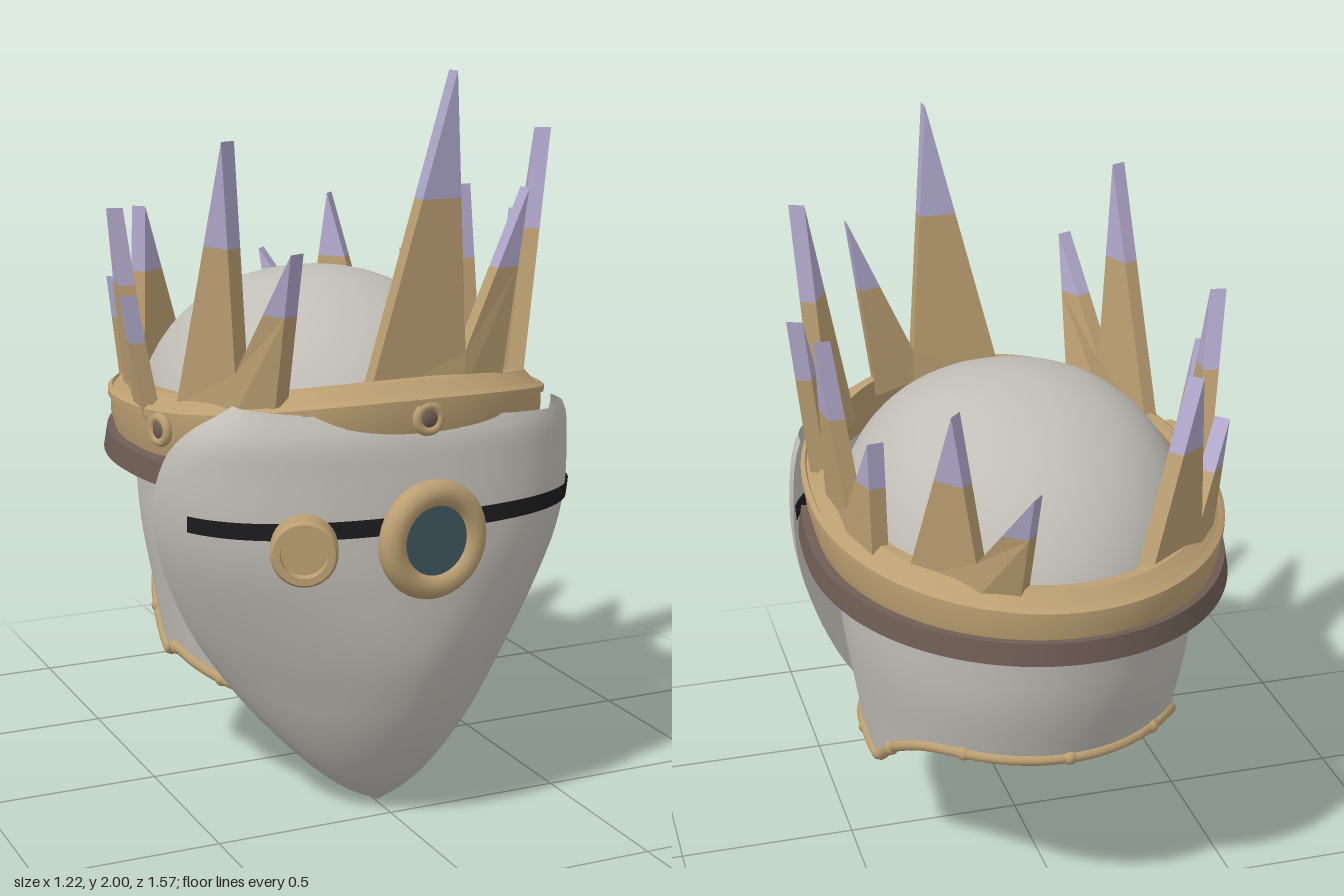
import * as THREE from 'three';
import { mergeVertices, toCreasedNormals } from 'three/addons/utils/BufferGeometryUtils.js';

const V = (x, y, z) => new THREE.Vector3(x, y, z);
const RAD = Math.PI / 180;
const spow = (v, e) => Math.sign(v) * Math.pow(Math.abs(v), e);

function makeMaterials() {
  const mat = (name, color, side = THREE.FrontSide) => {
    const m = new THREE.MeshStandardMaterial({ color, side });
    m.name = name;
    return m;
  };
  return {
    shell: mat('pale grey', 0xc1beb7, THREE.DoubleSide),
    gold: mat('dull gold', 0xbb9f72),
    brown: mat('dark brown', 0x6d5c53),
    tip: mat('lavender', 0xb0a9cb),
    black: mat('black', 0x1d1d1f, THREE.DoubleSide),
    lens: mat('dark teal', 0x425862),
  };
}

// Smooth lookup in a table whose rows start with a rising key
function look(table, key) {
  const n = table.length;
  let i = 0;
  while (i < n - 2 && key > table[i + 1][0]) i++;
  const a = table[i], b = table[i + 1], h = b[0] - a[0];
  const t = THREE.MathUtils.clamp((key - a[0]) / h, 0, 1);
  const slope = (k, c) => {
    const p = table[Math.max(k - 1, 0)], q = table[Math.min(k + 1, n - 1)];
    return (q[c] - p[c]) / (q[0] - p[0]);
  };
  return a.slice(1).map((v, c) => {
    const w = b[c + 1], t2 = t * t, t3 = t2 * t;
    return v * (2 * t3 - 3 * t2 + 1) + w * (3 * t2 - 2 * t3)
      + h * (slope(i, c + 1) * (t3 - 2 * t2 + t) + slope(i + 1, c + 1) * (t3 - t2));
  });
}

// Sheet of quads: i runs counter-clockwise seen from above, j runs downward
function grid(nu, nv, fn) {
  const pos = [], idx = [];
  for (let i = 0; i <= nu; i++) for (let j = 0; j <= nv; j++) pos.push(...fn(i, j).toArray());
  for (let i = 0; i < nu; i++) for (let j = 0; j < nv; j++) {
    const a = i * (nv + 1) + j, b = a + nv + 1;
    idx.push(a, a + 1, b, a + 1, b + 1, b);
  }
  const g = new THREE.BufferGeometry();
  g.setAttribute('position', new THREE.Float32BufferAttribute(pos, 3));
  g.setIndex(idx);
  const m = mergeVertices(g, 1e-5);
  m.computeVertexNormals();
  return m;
}

// Hood surface: y, half width, front depth, back depth
const HOOD = [[0.28, 0.42, 0.55, 0.48], [0.5, 0.455, 0.57, 0.55], [0.7, 0.485, 0.59, 0.61], [0.9, 0.495, 0.6, 0.635]];
function hoodPoint(a, y) {
  let [w, f, b] = look(HOOD, Math.min(y, 0.9));
  if (y > 0.9) {
    const round = (n) => Math.pow(Math.max(0, 1 - Math.pow((y - 0.9) / 0.52, n)), 1 / n);
    w *= round(2.2); f *= round(1.95); b *= round(1.95);
  }
  const c = Math.cos(a);
  return V(0.02 + w * Math.sin(a), y, -0.05 + (c > 0 ? f : b) * c);
}
// Height of the hood's lower edge by depth
const RIM = [[-0.65, 0.53], [-0.45, 0.515], [-0.3, 0.44], [-0.2, 0.36], [-0.13, 0.33], [-0.04, 0.365], [0.1, 0.35], [0.25, 0.33]];
const rimPoint = (a) => hoodPoint(a, look(RIM, -0.05 + 0.57 * Math.cos(a))[0]);

// Mask surface: y, half width, front z, back-edge z; keeled at the chin, squarer at the brow
const MASK = [[0, 0.005, 0.4, 0.39], [0.04, 0.09, 0.45, 0.375], [0.1, 0.17, 0.505, 0.355], [0.2, 0.27, 0.575, 0.31],
  [0.33, 0.375, 0.64, 0.25], [0.5, 0.478, 0.69, 0.205], [0.7, 0.555, 0.7, 0.2], [0.85, 0.58, 0.69, 0.22],
  [1, 0.568, 0.672, 0.29], [1.09, 0.53, 0.655, 0.38], [1.16, 0.45, 0.61, 0.47]];
function maskPoint(a, y, off = 0) {
  const [w, f, b] = look(MASK, y);
  const e = 1.12 - 0.31 * THREE.MathUtils.smoothstep(y, 0.35, 0.9);
  return V(0.01 + (w + off) * spow(Math.sin(a), e), y, b + (f + off - b) * spow(Math.max(0, Math.cos(a)), e));
}

// Sweep a closed [offset, y] section round the head, squared off at the front
function hoop(section, a0, a1, n, height, capped) {
  const ring = [...section, section[0]];
  const mid = section.reduce((m, s) => [m[0] + s[0] / section.length, m[1] + s[1] / section.length], [0, 0]);
  const cols = capped ? n + 2 : n;
  const g = grid(cols, section.length, (i, j) => {
    const s = capped && (i === 0 || i === cols) ? mid : ring[j];
    const k = capped ? THREE.MathUtils.clamp(i - 1, 0, n) : i;
    const a = a0 + (a1 - a0) * k / n;
    const e = Math.cos(a) > 0 ? 0.82 : 1;
    const sx = spow(Math.sin(a), e), cz = spow(Math.cos(a), e);
    return V(0.02 + (0.56 + s[0]) * sx, height(-0.05 + 0.71 * cz) + s[1], -0.05 + (0.71 + s[0]) * cz);
  });
  return toCreasedNormals(g, 0.5);
}

// Flat-faced prism from an outer polygon and a thickness vector
function prism(pts, off) {
  const n = V().crossVectors(pts[1].clone().sub(pts[0]), pts[2].clone().sub(pts[0]));
  if (n.dot(off) > 0) pts = [...pts].reverse();
  const back = pts.map((p) => p.clone().add(off)), out = [];
  const tri = (...t) => t.forEach((p) => out.push(...p.toArray()));
  for (let i = 1; i < pts.length - 1; i++) {
    tri(pts[0], pts[i], pts[i + 1]);
    tri(back[0], back[i + 1], back[i]);
  }
  pts.forEach((p, i) => {
    const k = (i + 1) % pts.length;
    tri(p, back[i], back[k]);
    tri(p, back[k], pts[k]);
  });
  const g = new THREE.BufferGeometry();
  g.setAttribute('position', new THREE.Float32BufferAttribute(out, 3));
  g.computeVertexNormals();
  return g;
}

export function createModel() {
  const M = makeMaterials();
  const root = new THREE.Group();
  root.name = 'crownedMaskHelmet';
  const add = (name, geo, mat, parent = root) => {
    const m = new THREE.Mesh(geo, mat);
    m.name = name;
    parent.add(m);
    return m;
  };
  const addGroup = (name, x, y, z, ry) => {
    const g = new THREE.Group();
    g.name = name;
    g.position.set(x, y, z);
    g.rotation.y = ry;
    root.add(g);
    return g;
  };

  // Hood: full dome, and a skirt open at the face whose front edges slant back
  add('hoodDome', grid(72, 16, (i, j) =>
    hoodPoint((i * 5 - 180) * RAD, 0.9 + 0.52 * Math.cos(j / 16 * Math.PI / 2))), M.shell);
  add('hoodSkirt', grid(64, 14, (i, j) => {
    const t = j / 14, open = 42 + 13 * t;
    const a = (open + (360 - 2 * open) * i / 64) * RAD;
    return hoodPoint(a, THREE.MathUtils.lerp(0.9, rimPoint(a).y, t));
  }), M.shell);

  // Trim along the hood's lower edge, with studs
  const rimPts = [];
  for (let d = 55; d <= 305; d += 5) rimPts.push(rimPoint(d * RAD));
  add('hoodTrim', new THREE.TubeGeometry(new THREE.CatmullRomCurve3(rimPts), 120, 0.016, 8), M.gold);
  for (const d of [64, 88, 113, 145, 180, 215, 247, 272, 296]) {
    add('trimStud', new THREE.SphereGeometry(0.021, 12, 8), M.gold).position.copy(rimPoint(d * RAD));
  }

  // Pointed face mask, a little lower on its left brow, and the strap that crosses it
  add('mask', grid(64, 48, (i, j) => {
    const a = (i / 64 - 0.5) * Math.PI;
    return maskPoint(a, (1.13 - 0.035 * Math.sin(a)) * Math.pow(1 - j / 48, 1.25));
  }), M.shell);
  for (const off of [0.007, -0.007]) {
    add('goggleStrap', grid(64, 1, (i, j) => {
      const a = (i / 64 - 0.5) * 140 * RAD;
      return maskPoint(a, 0.845 + 0.02 * Math.cos(a) + (j ? -0.02 : 0.025), off);
    }), M.black);
  }

  // Central goggle
  const goggle = addGroup('goggle', 0.02, 0.82, 0.692, 0.1);
  add('goggleRing', new THREE.TorusGeometry(0.122, 0.036, 16, 40), M.gold, goggle);
  add('goggleLens', new THREE.CylinderGeometry(0.095, 0.095, 0.036, 32), M.lens, goggle).rotation.x = Math.PI / 2;

  // Hollow side eyepiece, turned outward
  const eye = addGroup('sideEyepiece', -0.35, 0.84, 0.715, Math.atan2(-0.4, 0.9));
  const cup = [[0, -0.045], [0.078, -0.045], [0.085, -0.035], [0.085, 0.035], [0.078, 0.045], [0.06, 0.045], [0.058, 0.02], [0, 0.02]];
  const cupGeo = toCreasedNormals(new THREE.LatheGeometry(cup.map((p) => new THREE.Vector2(...p)), 32), 0.6);
  add('eyepieceCup', cupGeo, M.gold, eye).rotation.x = Math.PI / 2;

  // Crown band, tilted down to the back, and the brown band below it
  const bandY = (z) => 1.05 + 0.055 * z + 0.14 * Math.pow(Math.max(0, z), 2);
  add('crownBand', hoop([[-0.045, 0.075], [-0.012, 0.04], [0, 0.03], [0, -0.03], [-0.015, -0.09], [-0.04, -0.09], [-0.075, 0.075]],
    -Math.PI, Math.PI, 120, bandY), M.gold);
  add('bandLip', hoop([[-0.005, 0.045], [0.008, 0.035], [0.008, 0.018], [-0.02, 0.015]],
    -Math.PI, Math.PI, 120, bandY), M.gold);
  const lowY = (z) => 0.925 + 0.04 * Math.pow(z + 0.3, 2);
  add('lowerBand', hoop([[-0.03, 0.036], [0.012, 0.03], [0.022, -0.03], [-0.015, -0.035]],
    72 * RAD, 288 * RAD, 72, lowY, true), M.brown);

  // Round bosses on the brow and at one temple
  for (const [x, y, z, ry] of [[0.02, 1.13, 0.66, 0], [-0.545, 1.06, 0.22, -1.3]]) {
    const boss = addGroup('bandBoss', x, y, z, ry);
    add('bossRing', new THREE.TorusGeometry(0.033, 0.013, 10, 24), M.gold, boss);
    add('bossCentre', new THREE.SphereGeometry(0.027, 16, 10), M.brown, boss).scale.z = 0.5;
  }

  // Crown spikes in pairs: base start, tall apex, shared base, short apex, base end
  const pairs = [
    [[-0.11, 1.16, 0.57], [0.1, 2, 0.64], [0.16, 1.18, 0.59], [0.35, 1.69, 0.57], [0.28, 1.16, 0.56]],
    [[0.4, 1.12, 0.46], [0.55, 1.82, 0.33], [0.52, 1.12, 0.23], [0.61, 1.57, 0.09], [0.56, 1.12, 0.1]],
    [[0.54, 1.06, -0.02], [0.59, 1.61, -0.2], [0.53, 1.06, -0.25], [0.5, 1.4, -0.4], [0.49, 1.06, -0.38]],
    [[0.42, 1.05, -0.47], [0.34, 1.55, -0.64], [0.28, 1.05, -0.64], [0.17, 1.37, -0.78], [0.18, 1.05, -0.69]],
    [[-0.18, 1.05, -0.65], [-0.34, 1.55, -0.56], [-0.36, 1.05, -0.53], [-0.47, 1.37, -0.42], [-0.43, 1.05, -0.43]],
    [[-0.48, 1.06, -0.25], [-0.58, 1.61, -0.08], [-0.53, 1.06, -0.03], [-0.61, 1.4, 0.1], [-0.54, 1.06, 0.09]],
    [[-0.49, 1.12, 0.2], [-0.46, 1.83, 0.46], [-0.42, 1.14, 0.44], [-0.36, 1.57, 0.66], [-0.35, 1.14, 0.53]],
  ];
  for (const pair of pairs) {
    const p = pair.map((q) => V(...q));
    const group = addGroup('crownSpikePair', 0, 0, 0, 0);
    const along = p[4].clone().sub(p[0]).setY(0).normalize();
    const inward = V(-along.z, 0, along.x);
    inward.multiplyScalar(inward.dot(V(0.02 - p[0].x, 0, -0.05 - p[0].z)) < 0 ? -0.045 : 0.045);
    const valley = p[2].clone().add(V(0, 0.1, 0));
    // Each blade runs from its outer base corner, along the shared base, up to the valley
    for (const [base, apex] of [[p[0], p[1]], [p[4], p[3]]]) {
      const c0 = base.clone().lerp(apex, 0.62), c1 = valley.clone().lerp(apex, (c0.y - valley.y) / (apex.y - valley.y));
      add('spikeBlade', prism([base, p[2], valley, c1, c0], inward), M.gold, group);
      add('spikeTip', prism([c0, c1, apex], inward), M.tip, group);
    }
  }
  return root;
}
